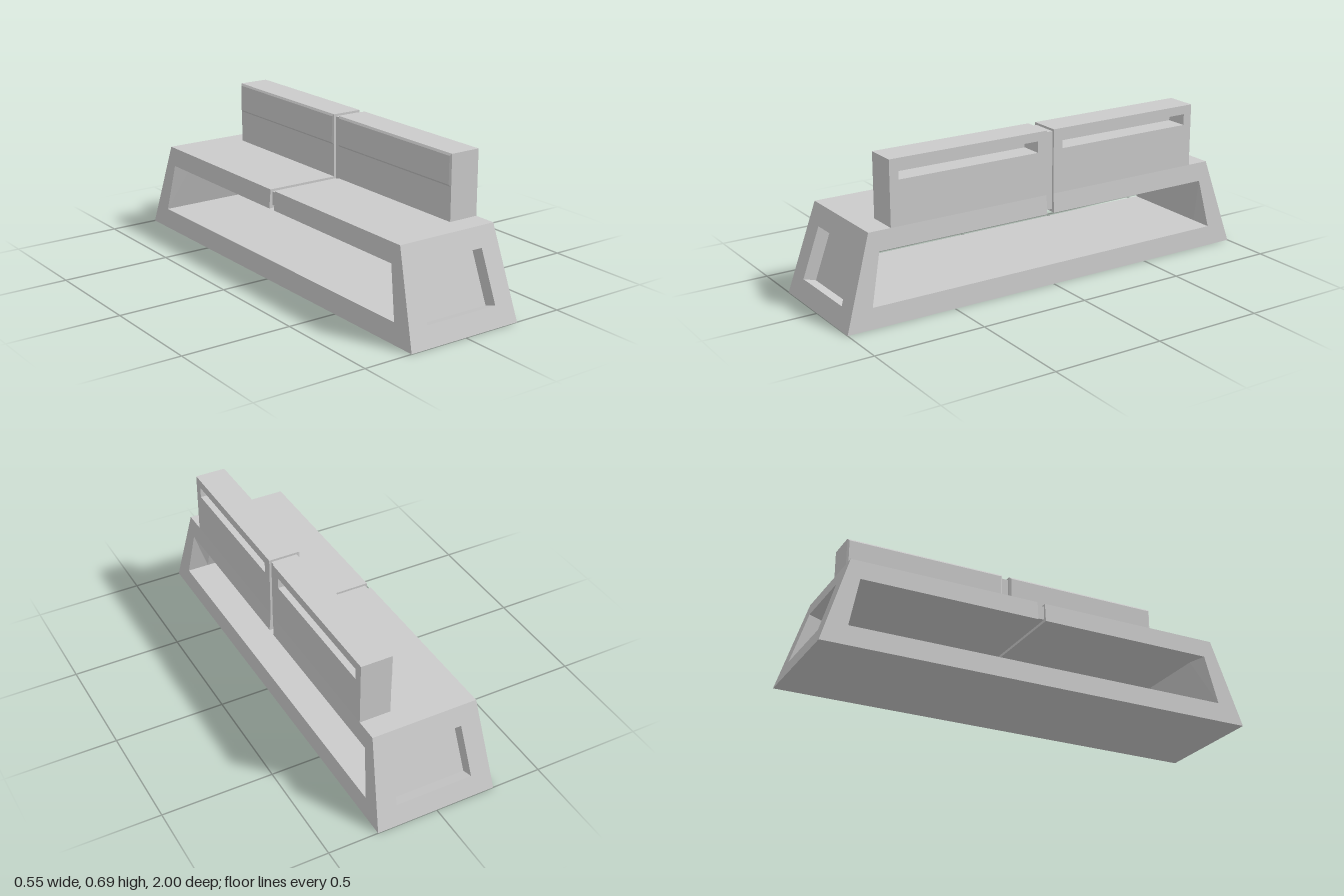
import * as THREE from 'three';

const material = new THREE.MeshStandardMaterial({ color: 0xcccccc, flatShading: true });

// Collects flat quads; side = -1 mirrors the part to the -z half.
function builder(side) {
  const pos = [];
  const tri = (a, b, c) => {
    for (const p of side > 0 ? [a, b, c] : [a, c, b]) pos.push(p[0], p[1], p[2] * side);
  };
  const quad = (a, b, c, d) => { tri(a, b, c); tri(a, c, d); };
  const strip = (A, B, skip = []) => A.forEach((p, i) => {
    const j = (i + 1) % A.length;
    if (!skip.includes(i)) quad(p, A[j], B[j], B[i]);
  });
  const chain = (...loops) => {
    for (let i = 0; i + 1 < loops.length; i++) strip(loops[i], loops[i + 1]);
  };
  const mesh = (name) => {
    const g = new THREE.BufferGeometry();
    g.setAttribute('position', new THREE.Float32BufferAttribute(pos, 3));
    g.computeVertexNormals();
    const m = new THREE.Mesh(g, material);
    m.name = name;
    return m;
  };
  return { quad, strip, chain, mesh };
}

const halfWidth = (y) => 0.275 - 0.0875 * y;
const endZ = (y) => 1 - 0.3125 * y;
const GAP = 0.018;

// Half of the tapered bench: C-shaped side profile carried across x,
// with a recessed panel in the sloping end.
function benchHalf(side) {
  const b = builder(side);
  const profile = (topZ, xAt) => [
    [0, 0], [1, 0], [0.875, 0.4], [GAP, 0.4],
    [GAP, 0.315], [topZ, 0.315], [0.88, 0.09], [0, 0.09],
  ].map(([z, y]) => [xAt(y), y, z]);

  const stations = [
    profile(0.832, halfWidth),
    profile(0.81, () => 0.165),
    profile(0.81, () => -0.165),
    profile(0.832, (y) => -halfWidth(y)),
  ];
  for (let i = 0; i < 3; i++) b.strip(stations[i], stations[i + 1], [1, 7]);

  // Side faces around the opening
  const [L, , , R] = stations;
  for (const [p, q, r, s] of [[0, 1, 6, 7], [1, 2, 5, 6], [2, 3, 4, 5]]) {
    b.quad(L[s], L[r], L[q], L[p]);
    b.quad(R[p], R[q], R[r], R[s]);
  }

  // End face with its recess, sunk square to the slope
  const hole = [[0.177, 0.087], [0.158, 0.315], [-0.158, 0.315], [-0.177, 0.087]]
    .map(([x, y]) => [x, y, endZ(y)]);
  const floor = hole.map(([x, y, z]) => [x, y - 0.018, z - 0.057]);
  b.chain([L[1], L[2], R[2], R[1]], hole, floor);
  b.quad(...floor);
  return b.mesh(side > 0 ? 'benchFrontHalf' : 'benchBackHalf');
}

// Backrest block with a long slot outside and a bevelled pad inside
function backrest(side) {
  const b = builder(side);
  const rect = (x, y0, y1, z0, z1) => [[x, y0, z1], [x, y0, z0], [x, y1, z0], [x, y1, z1]];
  const inner = rect(0.1, 0.4, 0.685, GAP, 0.773);
  const slot = rect(0.24, 0.595, 0.645, 0.063, 0.732);
  const slotFloor = rect(0.14, 0.595, 0.645, 0.063, 0.732);
  b.chain(inner, rect(0.24, 0.4, 0.685, GAP, 0.773), slot, slotFloor);
  b.quad(...slotFloor);
  b.quad(...inner.slice().reverse());

  const padFace = rect(0.093, 0.556, 0.676, GAP + 0.008, 0.765);
  b.chain(padFace, rect(0.1, 0.547, 0.685, GAP, 0.773));
  b.quad(...padFace.slice().reverse());
  return b.mesh(side > 0 ? 'backrestFront' : 'backrestBack');
}

// Recessed filler in the joint between the two halves
function joint(name, x0, x1, y0, y1) {
  const m = new THREE.Mesh(new THREE.BoxGeometry(x1 - x0, y1 - y0, GAP * 2), material);
  m.position.set((x0 + x1) / 2, (y0 + y1) / 2, 0);
  m.name = name;
  return m;
}

export function createModel() {
  const model = new THREE.Group();
  model.name = 'bench';
  for (const side of [1, -1]) model.add(benchHalf(side), backrest(side));
  model.add(
    joint('seatJoint', -0.23, 0.23, 0.328, 0.39),
    joint('backrestJoint', 0.11, 0.23, 0.39, 0.675),
  );
  return model;
}
